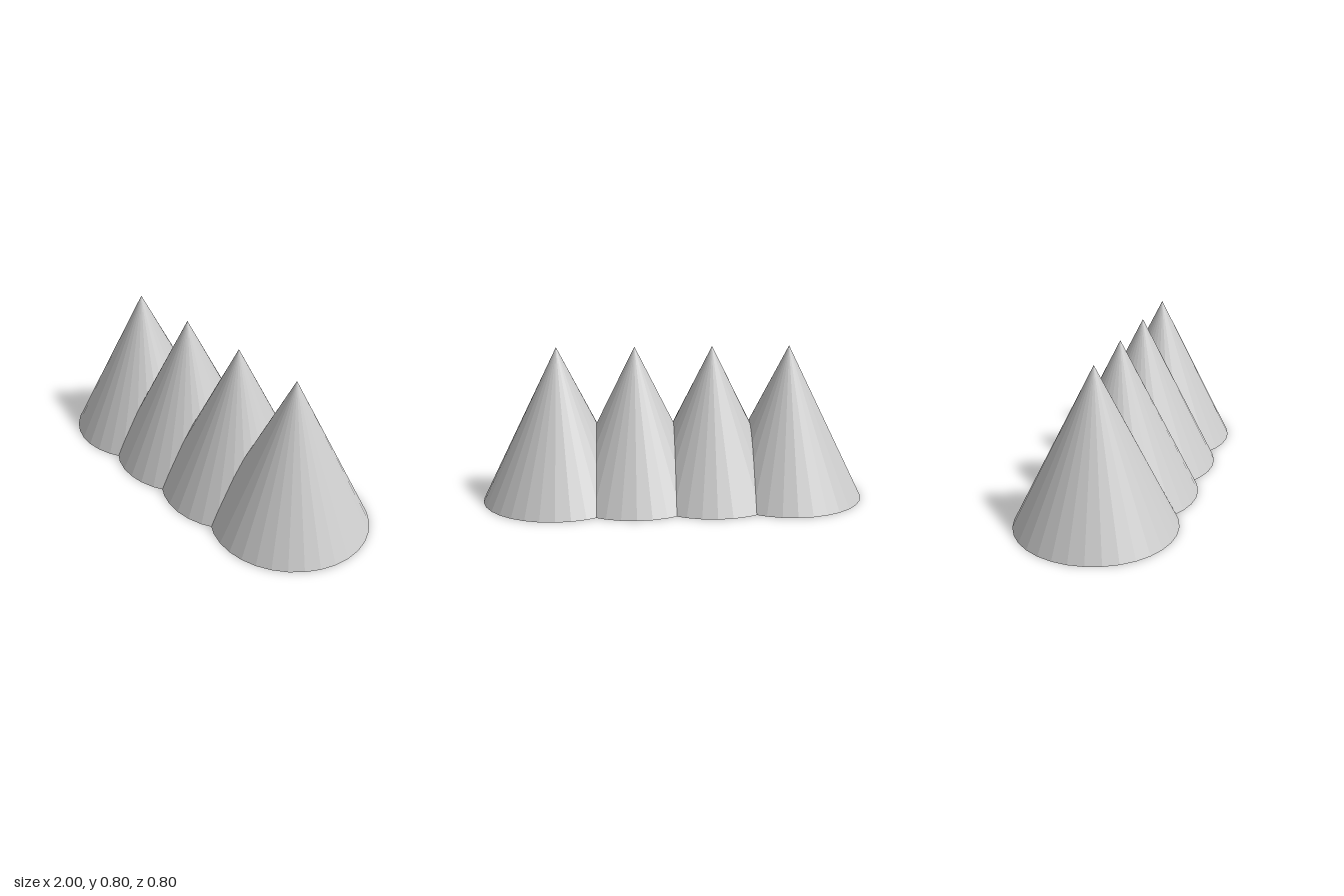
import * as THREE from 'three';

const COUNT = 4;
const RADIUS = 0.4;
const HEIGHT = 0.8;
const SPACING = 0.4;
const SIDES = 32;

export function createModel() {
  const model = new THREE.Group();
  model.name = 'coneRow';

  const material = new THREE.MeshStandardMaterial({ color: 0xcccccc, flatShading: true });

  // One faceted cone standing on the ground, shared by the whole row
  const geometry = new THREE.ConeGeometry(RADIUS, HEIGHT, SIDES);
  geometry.translate(0, HEIGHT / 2, 0);

  // Overlapping cones spaced evenly along x
  for (let i = 0; i < COUNT; i++) {
    const cone = new THREE.Mesh(geometry, material);
    cone.name = `cone${i + 1}`;
    cone.position.x = (i - (COUNT - 1) / 2) * SPACING;
    model.add(cone);
  }

  return model;
}
